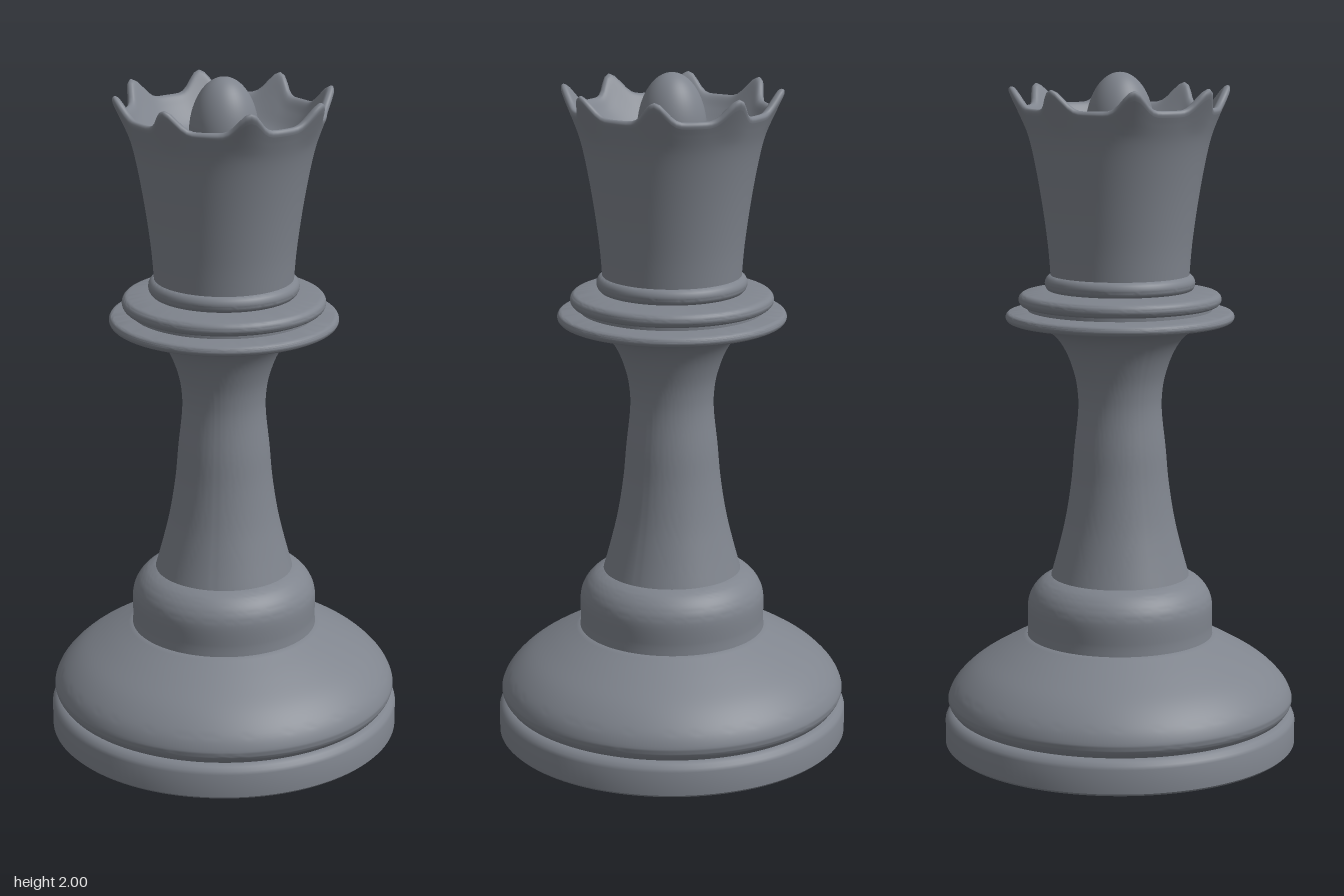
import * as THREE from 'three';
import { mergeVertices, toCreasedNormals } from 'three/addons/utils/BufferGeometryUtils.js';

const SEGMENTS = 128;
const stone = new THREE.MeshStandardMaterial({ color: 0x7f848d });
stone.name = 'slate grey';

// Smooth curve through a few [radius, height] points
function curve(points, steps = points.length * 4) {
  const spline = new THREE.SplineCurve(points.map(([r, y]) => new THREE.Vector2(r, y)));
  return spline.getPoints(steps).map((p) => [Math.max(p.x, 0), p.y]);
}

function lathe(profile) {
  return new THREE.LatheGeometry(profile.map(([r, y]) => new THREE.Vector2(r, y)), SEGMENTS);
}

// Half-round edge of a turned ring
function bead(radius, y, half, depth = half) {
  const out = [];
  for (let i = 0; i <= 10; i++) {
    const a = (i / 10 - 0.5) * Math.PI;
    out.push([radius - depth + depth * Math.cos(a), y + half * Math.sin(a)]);
  }
  return out;
}

export function createModel() {
  const group = new THREE.Group();
  const add = (name, geometry) => {
    const mesh = new THREE.Mesh(geometry, stone);
    mesh.name = name;
    group.add(mesh);
  };
  const turned = (name, profile) => add(name, toCreasedNormals(lathe(profile), 0.6));

  // Foot plate with a bevelled top edge
  turned('footPlate', [[0, 0], [0.518, 0], [0.525, 0.007], [0.525, 0.078],
    [0.521, 0.088], [0.512, 0.097], [0.5, 0.104], [0.4, 0.106]]);

  // Domed base
  turned('baseDome', [[0.49, 0.1], ...curve([[0.5, 0.106], [0.513, 0.125], [0.515, 0.148],
    [0.493, 0.19], [0.44, 0.241], [0.36, 0.291], [0.277, 0.335]]), [0.2, 0.34]]);

  // Shoulder above the dome
  turned('shoulder', [[0.277, 0.33], [0.276, 0.345], ...curve([[0.275, 0.36], [0.275, 0.43],
    [0.261, 0.47], [0.235, 0.499], [0.205, 0.515]]), [0.15, 0.518]]);

  // Waisted stem flaring out under the collar
  turned('stem', curve([[0.206, 0.512], [0.182, 0.6], [0.161, 0.69], [0.144, 0.8], [0.135, 0.9],
    [0.124, 1.0], [0.124, 1.06], [0.134, 1.12], [0.16, 1.19], [0.197, 1.24], [0.25, 1.266], [0.315, 1.278]]));

  // Stacked collar rings
  turned('wideCollar', [[0.2, 1.276], ...bead(0.335, 1.291, 0.015), [0.26, 1.312], [0.1, 1.312]]);
  turned('collarGap', [[0.27, 1.3], [0.27, 1.335]]);
  turned('narrowCollar', [[0.1, 1.322], ...bead(0.297, 1.342, 0.02), [0.22, 1.37], [0.1, 1.37]]);
  turned('neckRing', [[0.1, 1.362], ...bead(0.22, 1.39, 0.026), [0.1, 1.416]]);

  // Hollow crown whose rim is drawn up and out into eight points
  const crown = lathe([
    ...curve([[0.202, 1.4], [0.21, 1.5], [0.226, 1.62], [0.245, 1.73], [0.263, 1.81], [0.284, 1.87]], 24),
    ...curve([[0.289, 1.882], [0.291, 1.892], [0.286, 1.9], [0.277, 1.9], [0.266, 1.891], [0.245, 1.86],
      [0.205, 1.815], [0.15, 1.79], [0.09, 1.783], [0, 1.782]], 44),
  ]);
  crown.deleteAttribute('uv');
  crown.deleteAttribute('normal');
  const pos = crown.attributes.position;
  for (let i = 0; i < pos.count; i++) {
    const x = pos.getX(i), y = pos.getY(i), z = pos.getZ(i);
    const r = Math.hypot(x, z);
    if (r < 1e-5) continue;
    const point = Math.pow((1 - Math.cos(8 * Math.atan2(z, x))) / 2, 3.2);
    const w = point * THREE.MathUtils.smoothstep(y, 1.83, 1.9);
    const k = (r + 0.032 * w) / r;
    pos.setXYZ(i, x * k, y + 0.059 * w, z * k);
  }
  const crownMerged = mergeVertices(crown, 1e-5);
  crownMerged.computeVertexNormals();
  add('crown', crownMerged);

  // Egg-shaped finial with a small fillet ring where it meets the bowl
  const egg = new THREE.SphereGeometry(0.1, 48, 32);
  egg.scale(1, 1.65, 1);
  egg.translate(0, 1.835, 0);
  add('finial', egg);
  turned('finialFillet', curve([[0.122, 1.782], [0.108, 1.79], [0.097, 1.805]], 8));

  return group;
}
